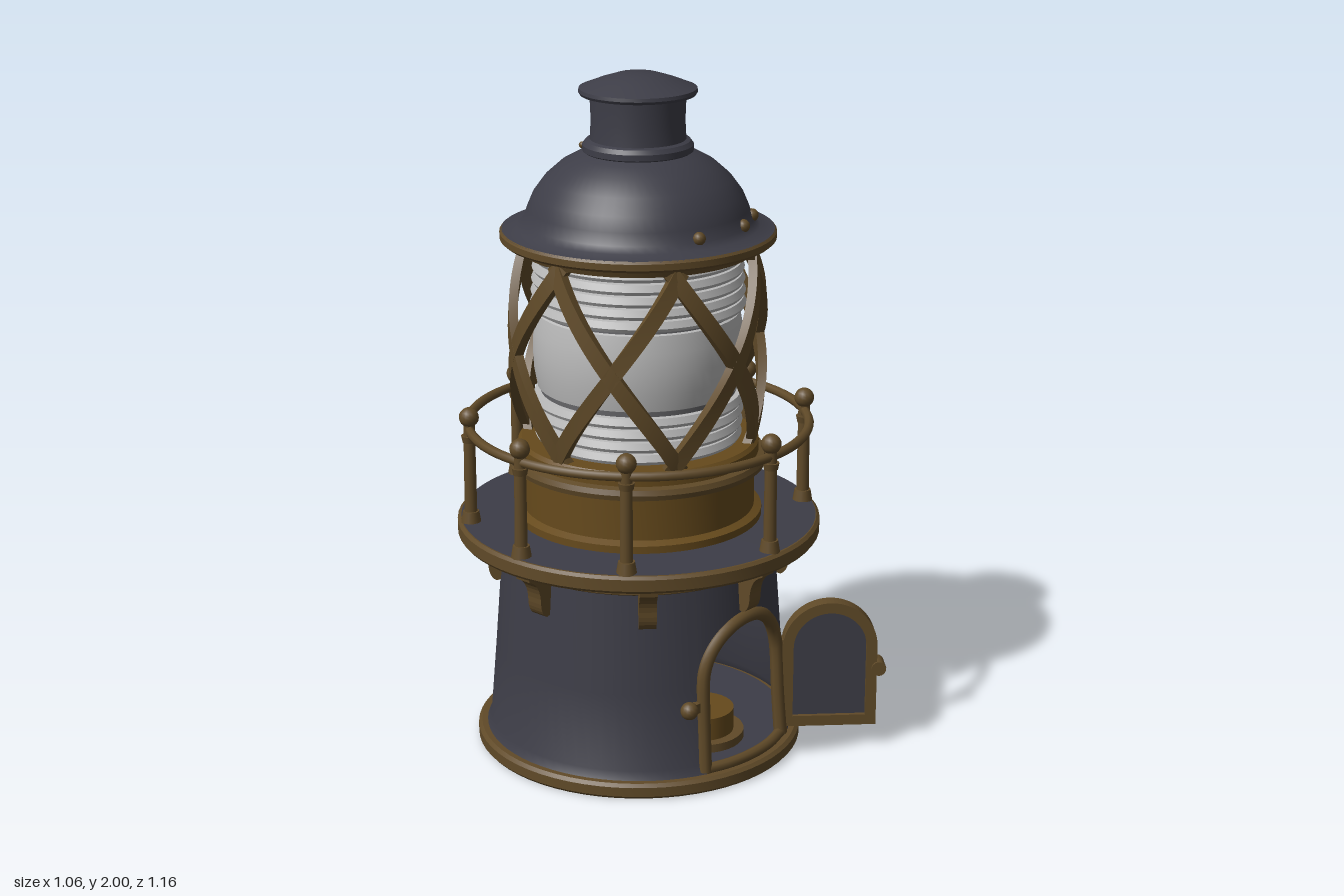
import * as THREE from 'three';
import { toCreasedNormals } from 'three/addons/utils/BufferGeometryUtils.js';

const mat = (name, color, side = THREE.FrontSide) => {
  const m = new THREE.MeshStandardMaterial({ color, side });
  m.name = name;
  return m;
};

export function createModel() {
  const bronze = mat('aged bronze', 0x604a28);
  const brass = mat('golden brass', 0x664a1c);
  const slate = mat('slate metal', 0x3d3d47, THREE.DoubleSide);
  const glass = mat('lens glass', 0xbababa);
  const groove = mat('lens groove', 0x67676a);

  const model = new THREE.Group();
  model.name = 'lighthouseLantern';
  const tower = new THREE.Group(); // everything round shares this axis
  tower.name = 'tower';
  tower.position.z = -0.04;
  model.add(tower);

  const add = (name, geo, material, x = 0, y = 0, z = 0, parent = tower) => {
    const mesh = new THREE.Mesh(geo, material);
    mesh.name = name;
    mesh.position.set(x, y, z);
    parent.add(mesh);
    return mesh;
  };
  // Turned part from [radius, height] pairs, bottom to top
  const turn = (name, pts, material, start = 0, length = Math.PI * 2) =>
    add(name, toCreasedNormals(new THREE.LatheGeometry(
      pts.map(([r, y]) => new THREE.Vector2(r, y)), 64, start, length), 0.6), material);
  const ball = (name, r, x, y, z, material = bronze, parent = tower) =>
    add(name, new THREE.SphereGeometry(r, 14, 10), material, x, y, z, parent);

  // Foot
  turn('footRing', [[0, 0], [0.475, 0], [0.482, 0.008], [0.482, 0.036], [0.472, 0.045], [0, 0.045]], bronze);
  turn('floor', [[0.44, 0.05], [0, 0.05]], slate);

  // Tapered wall with an arched opening at the front
  const wallR = y => 0.443 - 0.075 * (y - 0.05);
  const half = 0.4; // half angle of the opening
  const archY = s => 0.31 + 0.17 * Math.sqrt(Math.max(0, 1 - s * s));
  const onWall = (s, y, out = 0) => new THREE.Vector3(
    Math.sin(s * half) * (wallR(y) + out), y, Math.cos(s * half) * (wallR(y) + out));
  turn('wall', [[0.455, 0.045], [0.443, 0.07], [wallR(0.3), 0.3], [wallR(0.64), 0.64]],
    slate, half, Math.PI * 2 - 2 * half);
  const panel = new THREE.PlaneGeometry(1, 1, 32, 8);
  const p = panel.attributes.position;
  for (let i = 0; i < p.count; i++) {
    const s = 2 * p.getX(i);
    const v = onWall(s, THREE.MathUtils.lerp(archY(s), 0.64, p.getY(i) + 0.5));
    p.setXYZ(i, v.x, v.y, v.z);
  }
  panel.computeVertexNormals();
  add('wallAboveDoorway', panel, slate);

  // Doorway frame, sill, latch and burner
  const framePts = [onWall(-1, 0.05), onWall(-1, 0.18)];
  for (let i = 0; i <= 16; i++) {
    const a = Math.PI * (1 - i / 16);
    framePts.push(onWall(Math.cos(a), 0.31 + 0.17 * Math.sin(a), 0.003));
  }
  framePts.push(onWall(1, 0.18), onWall(1, 0.05));
  add('doorwayFrame', new THREE.TubeGeometry(new THREE.CatmullRomCurve3(framePts), 72, 0.02, 8), bronze);
  const sill = [-1, -0.5, 0, 0.5, 1].map(s => onWall(s, 0.055));
  add('doorwaySill', new THREE.TubeGeometry(new THREE.CatmullRomCurve3(sill), 20, 0.016, 8), bronze);
  add('latchPlate', new THREE.BoxGeometry(0.05, 0.03, 0.03), bronze, -0.2, 0.25, 0.385);
  ball('latchKnob', 0.026, -0.222, 0.25, 0.39);
  add('burnerDish', new THREE.CylinderGeometry(0.13, 0.13, 0.025, 32), bronze, 0, 0.065, 0.24);
  add('burner', new THREE.CylinderGeometry(0.1, 0.1, 0.07, 32), brass, 0, 0.11, 0.24);

  // Open door, swung out at 45 degrees
  const door = new THREE.Group();
  door.name = 'door';
  door.position.set(0.19, 0, 0.355);
  door.rotation.y = -Math.PI / 4;
  model.add(door);
  const arch = (Type, inset) => {
    const s = new Type();
    s.moveTo(inset, 0.07 + inset);
    s.lineTo(0.28 - inset, 0.07 + inset);
    s.lineTo(0.28 - inset, 0.32);
    s.absarc(0.14, 0.32, 0.14 - inset, 0, Math.PI, false);
    s.lineTo(inset, 0.07 + inset);
    return s;
  };
  const rim = arch(THREE.Shape, 0);
  rim.holes.push(arch(THREE.Path, 0.032));
  add('doorFrame', new THREE.ExtrudeGeometry(rim, { depth: 0.045, bevelEnabled: false, curveSegments: 20 }),
    bronze, 0, 0, -0.022, door);
  add('doorPanel', new THREE.ExtrudeGeometry(arch(THREE.Shape, 0.028), { depth: 0.02, bevelEnabled: false, curveSegments: 20 }),
    slate, 0, 0, -0.01, door);
  const handle = add('doorHandle', new THREE.CylinderGeometry(0.022, 0.022, 0.06, 14), bronze, 0.285, 0.25, 0, door);
  handle.rotation.x = Math.PI / 2;
  for (const y of [0.14, 0.32])
    add('hinge', new THREE.CylinderGeometry(0.016, 0.016, 0.05, 12), bronze, 0, y, 0, door);

  // Gallery deck
  turn('wallCollar', [[0.395, 0.59], [0.412, 0.6], [0.412, 0.63], [0.43, 0.655]], bronze);
  turn('deckRim', [[0.39, 0.65], [0.525, 0.65], [0.531, 0.658], [0.531, 0.692], [0.522, 0.7], [0.34, 0.7]], bronze);
  turn('deckFloor', [[0.52, 0.702], [0.33, 0.704]], slate);

  // Brackets under the deck
  const bracket = new THREE.Shape();
  bracket.moveTo(0.38, 0.655);
  bracket.lineTo(0.495, 0.655);
  bracket.lineTo(0.49, 0.625);
  bracket.quadraticCurveTo(0.45, 0.61, 0.445, 0.56);
  bracket.quadraticCurveTo(0.445, 0.51, 0.42, 0.5);
  bracket.lineTo(0.39, 0.51);
  const bracketGeo = new THREE.ExtrudeGeometry(bracket, { depth: 0.05, bevelEnabled: false, curveSegments: 6 });
  bracketGeo.translate(0, 0, -0.025);
  for (let i = 0; i < 8; i++)
    add('bracket', bracketGeo, bronze).rotation.y = i * Math.PI / 4;

  // Railing
  const diag = 0.66;
  for (const a of [0, diag, Math.PI / 2, Math.PI - diag, Math.PI, Math.PI + diag, -Math.PI / 2, -diag]) {
    const x = 0.495 * Math.cos(a), z = 0.495 * Math.sin(a);
    add('railPost', new THREE.CylinderGeometry(0.017, 0.019, 0.3, 12), bronze, x, 0.85, z);
    add('postFoot', new THREE.CylinderGeometry(0.024, 0.03, 0.035, 12), bronze, x, 0.717, z);
    add('postNeck', new THREE.CylinderGeometry(0.024, 0.02, 0.02, 12), bronze, x, 0.955, z);
    ball('postBall', 0.029, x, 1.02, z);
  }
  add('handrail', new THREE.TorusGeometry(0.495, 0.014, 8, 72), bronze, 0, 0.982).rotation.x = Math.PI / 2;

  // Lantern pedestal
  turn('pedestal', [[0.36, 0.7], [0.36, 0.725], [0.338, 0.735], [0.338, 0.865]], brass);
  turn('pedestalRing', [[0.335, 0.855], [0.37, 0.865], [0.374, 0.88], [0.368, 0.895], [0.35, 0.9]], bronze);
  turn('lensSeat', [[0.35, 0.895], [0.35, 0.93], [0.34, 0.94], [0, 0.94]], brass);

  // Ribbed lens
  turn('lensCore', [[0.268, 0.935], [0.285, 1.1], [0.285, 1.32], [0.268, 1.51]], groove);
  turn('lensBelt', [[0.27, 1.09], [0.292, 1.1], [0.301, 1.15], [0.304, 1.21], [0.301, 1.27], [0.292, 1.32], [0.27, 1.33]], glass);
  const rib = (y, r) => turn('lensRib',
    [[r - 0.04, y - 0.016], [r - 0.006, y - 0.016], [r, y - 0.006], [r - 0.008, y + 0.013], [r - 0.04, y + 0.016]], glass);
  for (let i = 0; i < 4; i++) rib(0.96 + i * 0.036, 0.3 + i * 0.002);
  for (let i = 0; i < 5; i++) rib(1.35 + i * 0.035, 0.31 - i * 0.002);

  // Crossed cage bars: flat strips swept over a bulging surface
  const cageBar = (middle, dir) => {
    const n = 24, pos = [], idx = [];
    const at = t => {
      const a = middle + dir * (t - 0.5) * Math.PI / 2.75;
      const r = 0.365 - 0.04 * (2 * t - 1) ** 2;
      return new THREE.Vector3(Math.sin(a) * r, 0.93 + 0.58 * t, Math.cos(a) * r);
    };
    for (let i = 0; i <= n; i++) {
      const t = i / n, c = at(t);
      const along = at(t + 0.01).sub(at(t - 0.01)).normalize();
      const out = new THREE.Vector3(c.x, 0, c.z).normalize();
      const side = new THREE.Vector3().crossVectors(along, out).normalize();
      for (const [w, d] of [[-1, -1], [1, -1], [1, 1], [-1, 1]])
        pos.push(...c.clone().addScaledVector(side, w * 0.022).addScaledVector(out, d * 0.013).toArray());
      if (i < n) for (let k = 0; k < 4; k++) {
        const a = i * 4 + k, b = i * 4 + (k + 1) % 4;
        idx.push(a, a + 4, b, b, a + 4, b + 4);
      }
    }
    const g = new THREE.BufferGeometry();
    g.setAttribute('position', new THREE.Float32BufferAttribute(pos, 3));
    // side x out points against the path, so flip the winding to face outward
    g.setIndex(idx.map((_, i) => idx[i - (i % 3) + [0, 2, 1][i % 3]]));
    return toCreasedNormals(g, 0.6);
  };
  const cageMetal = mat('cage bronze', 0x604a28, THREE.DoubleSide);
  for (let i = 0; i < 6; i++)
    for (const dir of [-1, 1]) add('cageBar', cageBar(i * Math.PI / 3, dir), cageMetal);

  // Roof
  turn('roofCollar', [[0.27, 1.5], [0.335, 1.5], [0.345, 1.525], [0.385, 1.527], [0.394, 1.535], [0.394, 1.553], [0.388, 1.56]], bronze);
  turn('roofDome', [[0.39, 1.558], [0.345, 1.568], [0.326, 1.585], [0.315, 1.62], [0.298, 1.66], [0.265, 1.705],
    [0.22, 1.745], [0.175, 1.77], [0.15, 1.78]], slate);
  turn('chimney', [[0.145, 1.775], [0.157, 1.783], [0.157, 1.8], [0.148, 1.812], [0.136, 1.816], [0.133, 1.87], [0.136, 1.945]], slate);
  turn('chimneyCap', [[0.12, 1.94], [0.163, 1.942], [0.168, 1.95], [0.166, 1.96], [0.11, 1.982], [0.06, 1.998], [0, 2]], slate);
  for (const a of [-0.3, 0.3, 0.7, Math.PI - 0.3, Math.PI + 0.3])
    ball('roofRivet', 0.019, Math.sin(a) * 0.322, 1.595, Math.cos(a) * 0.322);
  for (const x of [-0.085, 0.085]) ball('chimneyRivet', 0.01, x, 1.79, -0.135);

  return model;
}
